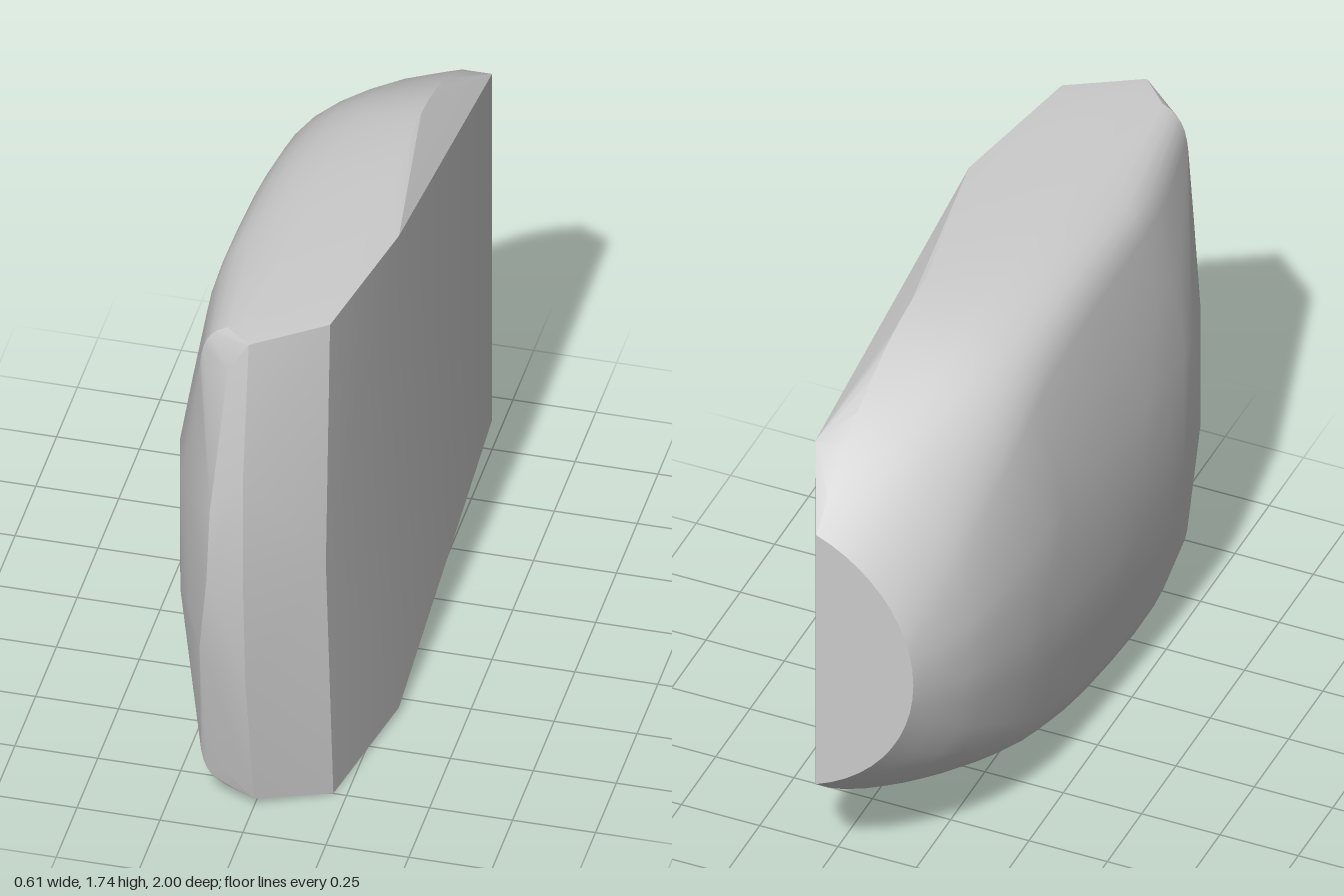
import * as THREE from 'three';
import { ConvexGeometry } from 'three/addons/geometries/ConvexGeometry.js';
import { toCreasedNormals } from 'three/addons/utils/BufferGeometryUtils.js';

// Cross-sections along the length: z, left x, right x, bottom y, top y, boxiness (0 = arc, 1 = boxy)
const sections = [
  [-1.0, -0.10, 0.21, 0.42, 1.34, 0],
  [-0.8, -0.19, 0.21, 0.26, 1.52, 0.25],
  [-0.6, -0.24, 0.21, 0.17, 1.63, 0.5],
  [-0.4, -0.27, 0.21, 0.11, 1.70, 0.72],
  [-0.2, -0.283, 0.21, 0.07, 1.725, 0.87],
  [0.05, -0.297, 0.21, 0.04, 1.737, 0.96],
  [0.4, -0.305, 0.21, 0.015, 1.74, 1],
  [0.6, -0.29, 0.21, 0.007, 1.74, 1],
  [0.75, -0.25, 0.21, 0.0, 1.737, 1],
  [0.85, -0.2, 0.0, 0.035, 1.73, 1],
];

// Boxy half profile: u runs across from the left, v from mid height to the rim
const boxy = [
  [0, 0], [0, 0.25], [0.08, 0.53], [0.165, 0.81], [0.185, 0.85], [0.22, 0.89],
  [0.27, 0.92], [0.34, 0.945], [0.43, 0.965], [0.58, 0.985], [0.78, 0.993], [1, 1],
];

// Matching point on the circular arc of the tail, at the same share of the profile
function arcPoint(s) {
  const a = s * 1.187;
  return [(1 - Math.cos(a)) / (1 - Math.cos(1.187)), Math.sin(a) / Math.sin(1.187)];
}

// Smooth in-between section: monotone blend of neighbours with a cubic
function sectionAt(t) {
  const i = Math.min(Math.floor(t), sections.length - 2), f = t - i;
  const at = (k) => sections[Math.max(0, Math.min(sections.length - 1, k))];
  return sections[i].map((b, k) => {
    const a = at(i - 1)[k], c = at(i + 1)[k], d = at(i + 2)[k];
    return b + 0.5 * f * (c - a + f * (2 * a - 5 * b + 4 * c - d + f * (3 * (b - c) + d - a)));
  });
}

function sectionPoints([z, x0, x1, y0, y1, box]) {
  const mid = (y0 + y1) / 2, half = (y1 - y0) / 2, points = [];
  boxy.forEach(([bu, bv], i) => {
    const [au, av] = arcPoint(i / (boxy.length - 1));
    const x = x0 + (x1 - x0) * (au + (bu - au) * box);
    const v = half * (av + (bv - av) * box);
    points.push(new THREE.Vector3(x, mid + v, z), new THREE.Vector3(x, mid - v, z));
  });
  return points;
}

export function createModel() {
  const points = [];

  // Rounded body, whole sections near the front and interpolated ones behind
  const last = sections.length - 1;
  for (let t = 0; t <= last - 2; t += 0.5) points.push(...sectionPoints(sectionAt(t)));
  points.push(...sectionPoints(sections[last - 1]), ...sectionPoints(sections[last]));

  // Flat side panel, its front bevel edge, and the faceted front face
  const corners = [
    [0.30, 1.737, 0.32], [0.30, 0.02, 0.32], [0.30, 1.52, -0.8], [0.30, 0.26, -0.8],
    [0.21, 1.735, 0.79], [0.21, 0.9, 0.84], [0.21, 0, 0.75],
    [0, 1.725, 0.93], [0, 1.28, 1], [0, 0.9, 1], [0, 0.52, 0.97], [0, 0.03, 0.87],
    [-0.06, 1.63, 0.94], [-0.1, 1.15, 1], [-0.11, 0.9, 1], [-0.14, 0.62, 0.965], [-0.09, 0.12, 0.87],
  ];
  points.push(...corners.map((c) => new THREE.Vector3(...c)));

  const geometry = toCreasedNormals(new ConvexGeometry(points), 0.35);
  const body = new THREE.Mesh(geometry, new THREE.MeshStandardMaterial({ color: 0xcccccc }));
  body.name = 'body';

  const model = new THREE.Group();
  model.name = 'roundedBlock';
  model.add(body);
  return model;
}
